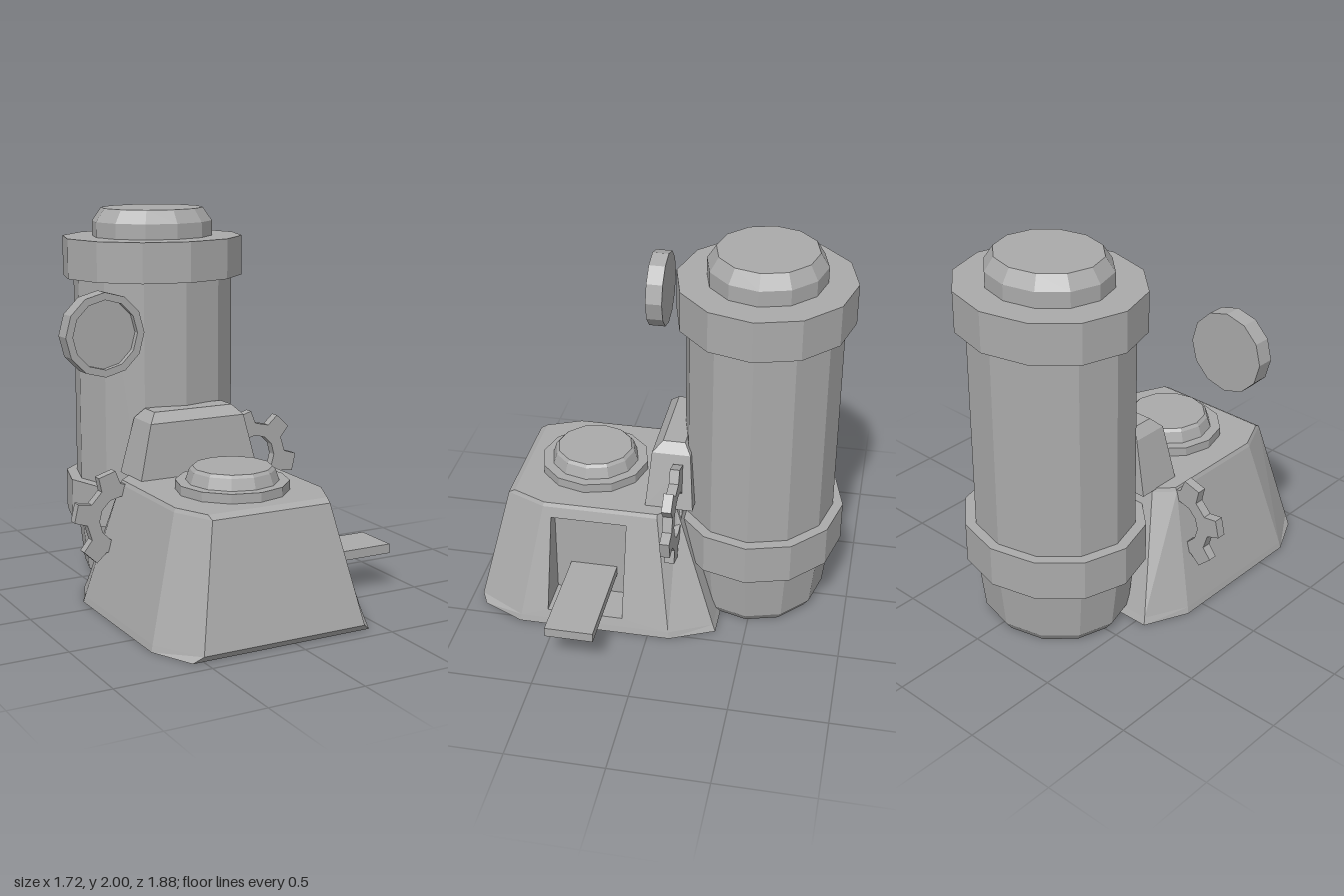
import * as THREE from 'three';

const grey = new THREE.MeshStandardMaterial({ color: 0xaaaaaa });
grey.name = 'grey';
grey.side = THREE.DoubleSide;
const CX = -0.065; // centre line of the machine

function add(parent, name, geometry, x = 0, y = 0, z = 0) {
  const flat = geometry.index ? geometry.toNonIndexed() : geometry;
  flat.computeVertexNormals();
  const mesh = new THREE.Mesh(flat, grey);
  mesh.name = name;
  mesh.position.set(x, y, z);
  parent.add(mesh);
  return mesh;
}

// Twelve-sided turned part from [radius, height] pairs, listed bottom to top
function turned(profile) {
  return new THREE.LatheGeometry(profile.map(([r, y]) => new THREE.Vector2(r, y)), 12);
}

// Flat-faced geometry from a list of quads
function quadGeometry(quads) {
  const pos = [];
  for (const [a, b, c, d] of quads) pos.push(...a, ...b, ...c, ...a, ...c, ...d);
  const g = new THREE.BufferGeometry();
  g.setAttribute('position', new THREE.Float32BufferAttribute(pos, 3));
  return g;
}

// Quads between stacked rings plus a top cap; skip(level, side) leaves a gap
function loft(rings, skip = () => false) {
  const quads = [];
  const n = rings[0].length;
  for (let k = 0; k < rings.length - 1; k++) {
    for (let i = 0; i < n; i++) {
      const j = (i + 1) % n;
      if (!skip(k, i)) quads.push([rings[k][i], rings[k][j], rings[k + 1][j], rings[k + 1][i]]);
    }
  }
  const top = rings[rings.length - 1];
  for (let i = 1; i < n - 2; i += 2) quads.push([top[0], top[i], top[i + 1], top[i + 2]]);
  return quads;
}

// Eight-cornered ring: front corners, side corners, back corners
function octagon(y, [fx, fz], [sx, sz], [tx, tz], [bx, bz]) {
  const half = [[fx, fz], [sx, sz], [tx, tz], [bx, bz]];
  return [
    ...half.map(([x, z]) => [x, y, z]),
    ...half.reverse().map(([x, z]) => [-x, y, z]),
  ];
}

function rectangle(y, w, z0, z1) {
  return [[-w, y, z1], [w, y, z1], [w, y, z0], [-w, y, z0]];
}

function gearGeometry() {
  const shape = new THREE.Shape();
  const teeth = 6;
  for (let i = 0; i < teeth; i++) {
    const mid = (47 + i * 60) * Math.PI / 180;
    const outline = [[0.185, -0.3], [0.255, -0.19], [0.255, 0.19], [0.185, 0.3]];
    outline.forEach(([r, a], k) => {
      const x = r * Math.cos(mid + a), y = r * Math.sin(mid + a);
      if (i === 0 && k === 0) shape.moveTo(x, y);
      else shape.lineTo(x, y);
    });
  }
  shape.closePath();
  const hole = new THREE.Path();
  hole.absarc(0, 0, 0.118, 0, Math.PI * 2, true);
  shape.holes.push(hole);
  const g = new THREE.ExtrudeGeometry(shape, { depth: 0.05, bevelEnabled: false, curveSegments: 6 });
  return g.translate(0, 0, -0.025);
}

export function createModel() {
  const model = new THREE.Group();
  model.name = 'machine';

  // Tank with two bands and a bevelled lid, slightly wider than deep
  const tank = new THREE.Group();
  tank.name = 'tank';
  tank.position.set(CX, 0, -0.49);
  tank.scale.x = 1.09;
  model.add(tank);
  add(tank, 'tankBody', turned([[0, 0], [0.33, 0], [0.365, 0.05], [0.3975, 0.34], [0.3975, 1.84]]));
  for (const [name, y0, y1] of [['lowerBand', 0.345, 0.56], ['upperBand', 1.64, 1.85]]) {
    add(tank, name, turned([[0, y0], [0.45, y0], [0.45, y1], [0, y1]]));
  }
  add(tank, 'tankLid', turned([[0.3, 1.84], [0.3, 1.93], [0.255, 2], [0, 2]]));

  // Tapered hollow base, open below, with a gap for the window wall
  const rings = [
    octagon(0, [0.49, 0.91], [0.595, 0.69], [0.595, -0.115], [0.49, -0.345]),
    octagon(0.035, [0.445, 0.938], [0.587, 0.685], [0.587, -0.11], [0.48, -0.33]),
    octagon(0.635, [0.325, 0.795], [0.42, 0.585], [0.42, -0.02], [0.33, -0.11]),
    octagon(0.655, [0.33, 0.76], [0.41, 0.58], [0.41, -0.02], [0.33, -0.1]),
  ];
  const base = new THREE.Group();
  base.name = 'base';
  base.position.x = CX;
  model.add(base);
  add(base, 'baseShell', quadGeometry(loft(rings, (k, i) => k === 1 && i === 1)));

  // Left wall framing a recessed window
  const wallX = (y) => THREE.MathUtils.lerp(0.587, 0.42, (y - 0.035) / 0.6);
  const outer = [rings[1][1], rings[1][2], rings[2][2], rings[2][1]];
  const corners = [[0.08, 0.54], [0.08, 0.14], [0.58, 0.14], [0.58, 0.54]];
  const rim = corners.map(([y, z]) => [wallX(y), y, z]);
  const back = corners.map(([y, z]) => [0.36, y, z]);
  const wall = [], recess = [back];
  for (let i = 0; i < 4; i++) {
    const j = (i + 1) % 4;
    wall.push([outer[i], outer[j], rim[j], rim[i]]);
    recess.push([rim[i], rim[j], back[j], back[i]]);
  }
  add(base, 'windowWall', quadGeometry(wall));
  add(base, 'windowRecess', quadGeometry(recess));

  // Tray sticking out of the window
  add(model, 'tray', new THREE.BoxGeometry(0.58, 0.05, 0.25), 0.57, 0.225, 0.335);

  // Raised block at the back of the base
  add(model, 'backBlock', quadGeometry(loft([
    rectangle(0.65, 0.34, -0.19, 0.06),
    rectangle(0.94, 0.27, -0.165, 0.035),
    rectangle(0.99, 0.225, -0.13, -0.015),
  ])), CX);

  // Stepped round hatch on top of the base
  add(model, 'hatchRing', turned([[0.287, 0.65], [0.287, 0.703], [0, 0.703]]), CX, 0, 0.4);
  add(model, 'hatchDome', turned([[0.235, 0.7], [0.215, 0.76], [0.2, 0.775], [0, 0.775]]), CX, 0, 0.4);

  // Gears at both sides
  add(model, 'leftGear', gearGeometry(), 0.345, 0.67, -0.105);
  add(model, 'rightGear', gearGeometry(), -0.507, 0.465, 0.005);

  // Floating dial with a sunken face
  const dial = add(model, 'dial', turned([
    [0, 0], [0.207, 0], [0.207, 0.09], [0.17, 0.09], [0.17, 0.06], [0, 0.06],
  ]), -0.655, 1.445, 0.112);
  dial.rotation.x = Math.PI / 2;

  return model;
}
